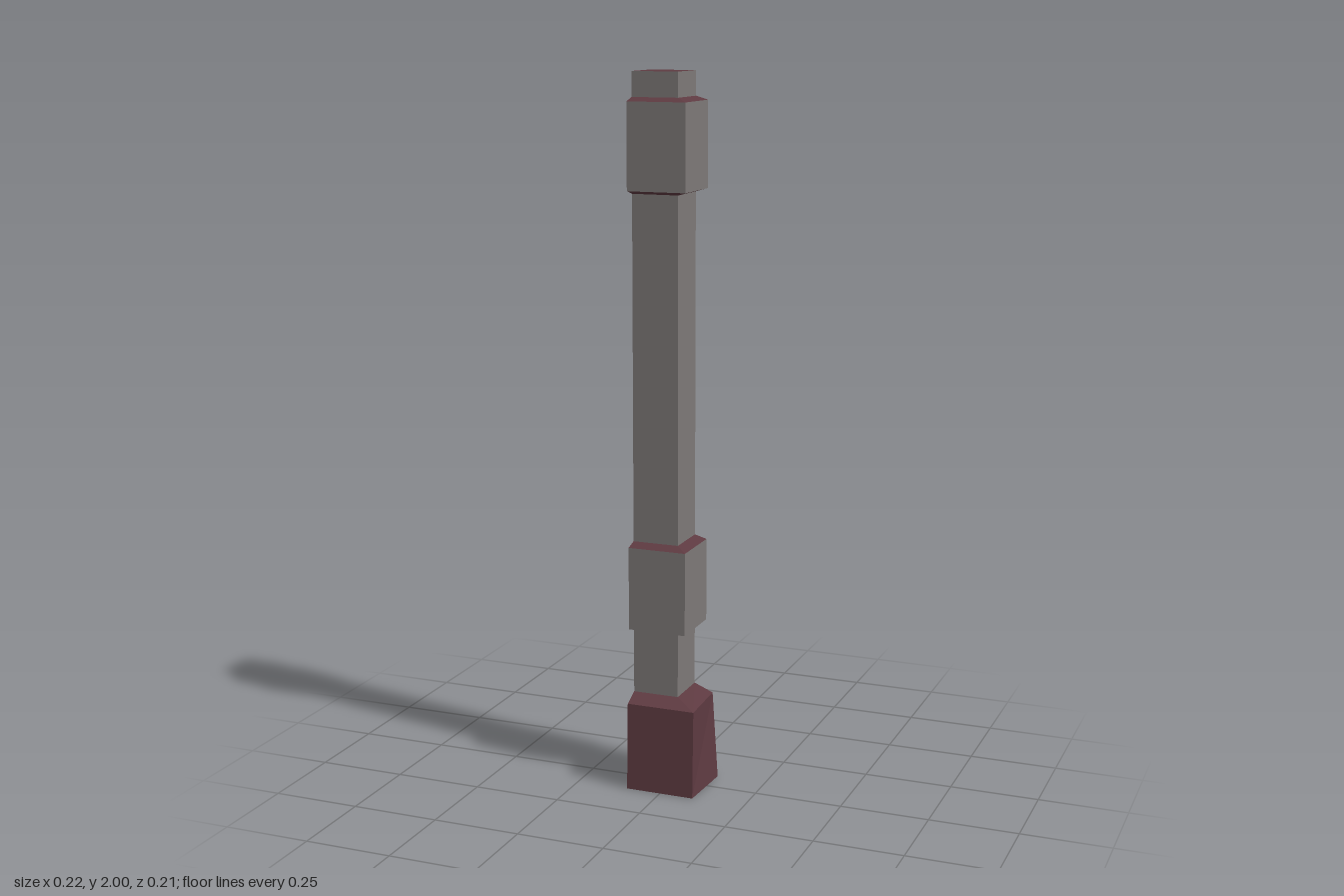
import * as THREE from 'three';

const stone = new THREE.MeshStandardMaterial({ color: 0x7d7877, flatShading: true });
const maroon = new THREE.MeshStandardMaterial({ color: 0x5e3a41, flatShading: true });

const LEFT = -0.108, BACK = -0.104;   // flush sides shared by all parts
const SHAFT = [0.025, 0.028], COLLAR = [0.06, 0.064]; // right and front extents

// Mesh from flat quads; corners run counter-clockwise seen from outside
function quadMesh(name, quads, material) {
  const pos = [];
  for (const [a, b, c, d] of quads) pos.push(...a, ...b, ...c, ...a, ...c, ...d);
  const geo = new THREE.BufferGeometry();
  geo.setAttribute('position', new THREE.Float32BufferAttribute(pos, 3));
  geo.computeVertexNormals();
  const mesh = new THREE.Mesh(geo, material);
  mesh.name = name;
  return mesh;
}

// Side quads between two open or closed rings of points
function band(low, high, closed) {
  const quads = [];
  const n = low.length;
  for (let i = 0; i < (closed ? n : n - 1); i++) {
    const j = (i + 1) % n;
    quads.push([low[i], low[j], high[j], high[i]]);
  }
  return quads;
}

// Square section: front left, front right, back right, back left
const square = (y, [x, z]) => [[LEFT, y, z], [x, y, z], [x, y, BACK], [LEFT, y, BACK]];

function createColumn() {
  const column = new THREE.Group();
  column.name = 'column';
  const sections = [[0, SHAFT]];
  for (const y of [0.45, 1.675]) {
    sections.push([y, SHAFT], [y + 0.01, COLLAR], [y + 0.247, COLLAR], [y + 0.257, SHAFT]);
  }
  sections.push([2, SHAFT]);

  const facing = [], backing = [];
  for (let i = 0; i < sections.length - 1; i++) {
    const [y0, s0] = sections[i], [y1, s1] = sections[i + 1];
    const sides = band(square(y0, s0), square(y1, s1), true);
    // Upright front and right faces are stone; bevels and flush sides are maroon
    (s0 === s1 ? facing : backing).push(sides[0], sides[1]);
    backing.push(sides[2], sides[3]);
  }
  backing.push(square(2, SHAFT)); // top cap
  column.add(quadMesh('stoneFacing', facing, stone), quadMesh('columnBacking', backing, maroon));
  return column;
}

function createPlinth() {
  const [x, z] = SHAFT, top = 0.265, rim = 0.25;
  const bottom = [[LEFT, 0, z], [-0.1, 0, 0.102], [0.098, 0, 0.102], [0.107, 0, -0.078], [x, 0, BACK]];
  const edge = [[LEFT, top, z], [-0.101, rim, 0.092], [0.097, rim, 0.092], [0.088, rim, -0.084], [x, top, BACK]];
  const inner = [edge[0], edge[0], [x, top, z], edge[4], edge[4]];
  const quads = [...band(bottom, edge, false), ...band(edge, inner, false).slice(1, 3)];
  // Underside
  const corner = [LEFT, 0, BACK];
  quads.push([corner, bottom[2], bottom[1], bottom[0]], [corner, bottom[4], bottom[3], bottom[2]]);
  return quadMesh('plinth', quads, maroon);
}

export function createModel() {
  const model = new THREE.Group();
  model.name = 'cornerPillar';
  model.add(createColumn(), createPlinth());
  return model;
}
